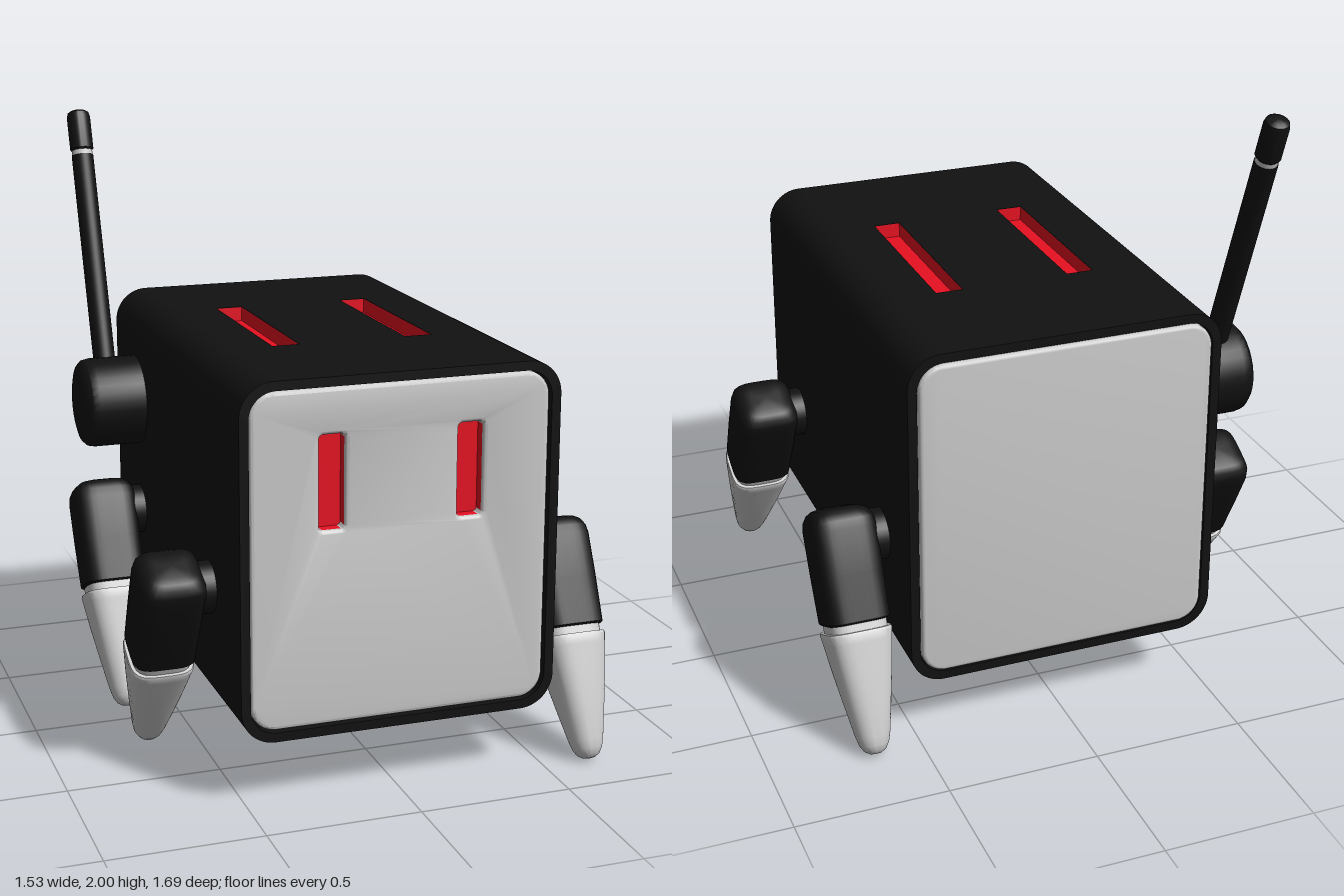
import * as THREE from 'three';
import { toCreasedNormals } from 'three/addons/utils/BufferGeometryUtils.js';

const mat = (color) => new THREE.MeshStandardMaterial({ color });
const black = mat(0x111111), grey = mat(0xcccccc), red = mat(0xe81022);

const BODY_Y = 0.78;
const SLOT = { inner: 0.18, outer: 0.27, depth: 0.05, z0: -0.27, z1: 0.36 };

function add(parent, name, geometry, material, x = 0, y = 0, z = 0) {
  const mesh = new THREE.Mesh(geometry, material);
  mesh.name = name;
  mesh.position.set(x, y, z);
  parent.add(mesh);
  return mesh;
}

// Rounded rectangle outline, optionally with two notches in its top edge
function roundedRect(Type, w, h, r, notched = false) {
  const p = new Type();
  p.moveTo(-w + r, -h);
  p.absarc(w - r, -h + r, r, -Math.PI / 2, 0);
  p.absarc(w - r, h - r, r, 0, Math.PI / 2);
  if (notched) {
    for (const [a, b] of [[SLOT.outer, SLOT.inner], [-SLOT.inner, -SLOT.outer]]) {
      p.lineTo(a, h);
      p.lineTo(a, h - SLOT.depth);
      p.lineTo(b, h - SLOT.depth);
      p.lineTo(b, h);
    }
  }
  p.absarc(-w + r, h - r, r, Math.PI / 2, Math.PI);
  p.absarc(-w + r, -h + r, r, Math.PI, Math.PI * 1.5);
  p.closePath();
  return p;
}

function extrude(shape, z0, z1, bevel = 0) {
  const geo = new THREE.ExtrudeGeometry(shape, {
    depth: z1 - z0 - 2 * bevel, curveSegments: 10, bevelEnabled: bevel > 0,
    bevelSize: bevel, bevelThickness: bevel, bevelOffset: -bevel, bevelSegments: 3,
  });
  geo.translate(0, 0, z0 + bevel);
  return toCreasedNormals(geo, 0.6);
}

// Inward-facing box without its top: the lining of a recess
function lining(w, h, d) {
  const geo = new THREE.BoxGeometry(w, h, d);
  const index = Array.from(geo.index.array);
  index.splice(12, 6);
  geo.setIndex(index.reverse());
  geo.computeVertexNormals();
  return geo;
}

// Turned profile whose section is squared off; power(y) = 2 is a circle
function squaredLathe(profile, power) {
  const geo = new THREE.LatheGeometry(profile.map(([r, y]) => new THREE.Vector2(r, y)), 40);
  const p = geo.attributes.position;
  for (let i = 0; i < p.count; i++) {
    const x = p.getX(i), z = p.getZ(i), r = Math.hypot(x, z);
    if (r < 1e-5) continue;
    const n = power(p.getY(i));
    const k = Math.pow(Math.abs(x / r) ** n + Math.abs(z / r) ** n, -1 / n);
    p.setX(i, x * k);
    p.setZ(i, z * k);
  }
  return toCreasedNormals(geo, 0.6);
}

function lathe(profile) {
  return toCreasedNormals(new THREE.LatheGeometry(profile.map(([r, y]) => new THREE.Vector2(r, y)), 32), 0.6);
}

function makeBody() {
  const body = new THREE.Group();
  body.name = 'body';
  body.position.y = BODY_Y;
  const W = 0.52, H = 0.57, R = 0.11;

  // Shell in slices along z: the middle slice carries the top slots
  const solid = (notched) => roundedRect(THREE.Shape, W, H, R, notched);
  const rim = solid(false);
  rim.holes.push(roundedRect(THREE.Path, 0.49, 0.54, 0.085));
  add(body, 'shellRear', extrude(solid(false), -0.68, SLOT.z0), black);
  add(body, 'shellMiddle', extrude(solid(true), SLOT.z0, SLOT.z1), black);
  add(body, 'shellFront', extrude(solid(false), SLOT.z1, 0.75), black);
  add(body, 'frontRim', extrude(rim, 0.75, 0.815), black);
  add(body, 'rearRim', extrude(rim, -0.712, -0.68), black);

  // Face plate with eye openings, and plain rear plate
  const face = roundedRect(THREE.Shape, 0.485, 0.535, 0.08);
  for (const x of [-0.225, 0.225]) {
    const eye = roundedRect(THREE.Path, 0.042, 0.15, 0.015);
    face.holes.push(new THREE.Path(eye.getPoints(4).map((v) => new THREE.Vector2(v.x + x, v.y + 0.24))));
  }
  add(body, 'facePlate', extrude(face, 0.745, 0.808, 0.012), grey);
  add(body, 'rearPlate', extrude(roundedRect(THREE.Shape, 0.485, 0.535, 0.08), -0.72, -0.67, 0.012), grey);

  for (const s of [-1, 1]) {
    // Red eye lining, opening towards the front
    const eye = add(body, 'eye', lining(0.083, 0.035, 0.299), red, s * 0.225, 0.24, 0.776);
    eye.rotation.x = Math.PI / 2;
    // Red lining of the top slot
    add(body, 'topSlot', lining(0.088, SLOT.depth - 0.002, SLOT.z1 - SLOT.z0 - 0.002), red,
      s * 0.225, H - SLOT.depth / 2, (SLOT.z0 + SLOT.z1) / 2);
  }
  return body;
}

// One leg: axle, dark upper leg, grey neck and claw; swing +1 points forward
function makeLeg(name, side, z, swing) {
  const leg = new THREE.Group();
  leg.name = name;
  leg.position.set(side * 0.657, 0.617, z);
  leg.rotation.x = -swing * THREE.MathUtils.degToRad(27);

  const axle = add(leg, 'axle', new THREE.CylinderGeometry(0.085, 0.085, 0.13, 32), black, -side * 0.1);
  axle.rotation.z = Math.PI / 2;
  add(leg, 'upperLeg', squaredLathe([
    [0, -0.26], [0.098, -0.26], [0.104, -0.254], [0.107, -0.1], [0.108, 0.04],
    [0.104, 0.068], [0.092, 0.09], [0.075, 0.102], [0.05, 0.108], [0, 0.11],
  ], () => 4.5), black);
  add(leg, 'neck', squaredLathe([[0, -0.31], [0.094, -0.31], [0.094, -0.255], [0, -0.255]], () => 4), grey);
  add(leg, 'claw', squaredLathe([
    [0, -0.688], [0.02, -0.685], [0.036, -0.675], [0.048, -0.655], [0.056, -0.625], [0.074, -0.52],
    [0.091, -0.41], [0.103, -0.32], [0.107, -0.293], [0.104, -0.285], [0.085, -0.285],
  ], (y) => 2 + 2 * THREE.MathUtils.clamp((y + 0.66) / 0.37, 0, 1)), grey);
  return leg;
}

// Antenna on a round shoulder mount
function makeAntenna() {
  const antenna = new THREE.Group();
  antenna.name = 'antenna';
  antenna.position.set(-0.62, 1.01, -0.437);

  const mount = add(antenna, 'antennaMount', lathe([
    [0.155, -0.12], [0.155, 0.06], [0.15, 0.085], [0.135, 0.1], [0.11, 0.107], [0, 0.108],
  ]), black);
  mount.rotation.z = Math.PI / 2;

  const mast = new THREE.Group();
  mast.name = 'mast';
  mast.rotation.x = -THREE.MathUtils.degToRad(20.6);
  antenna.add(mast);
  add(mast, 'rod', new THREE.CylinderGeometry(0.038, 0.038, 0.88, 32), black, 0, 0.44);
  add(mast, 'ring', new THREE.CylinderGeometry(0.036, 0.036, 0.03, 32), grey, 0, 0.888);
  add(mast, 'tip', lathe([
    [0, 0.897], [0.036, 0.897], [0.041, 0.903], [0.041, 1.018], [0.037, 1.033], [0.026, 1.04], [0, 1.042],
  ]), black);
  return antenna;
}

export function createModel() {
  const model = new THREE.Group();
  model.name = 'robot';
  model.add(
    makeBody(),
    makeLeg('leftFrontLeg', 1, 0.512, 1),
    makeLeg('leftRearLeg', 1, -0.432, -1),
    makeLeg('rightFrontLeg', -1, 0.478, -1),
    makeLeg('rightRearLeg', -1, -0.408, 1),
    makeAntenna(),
  );
  return model;
}
